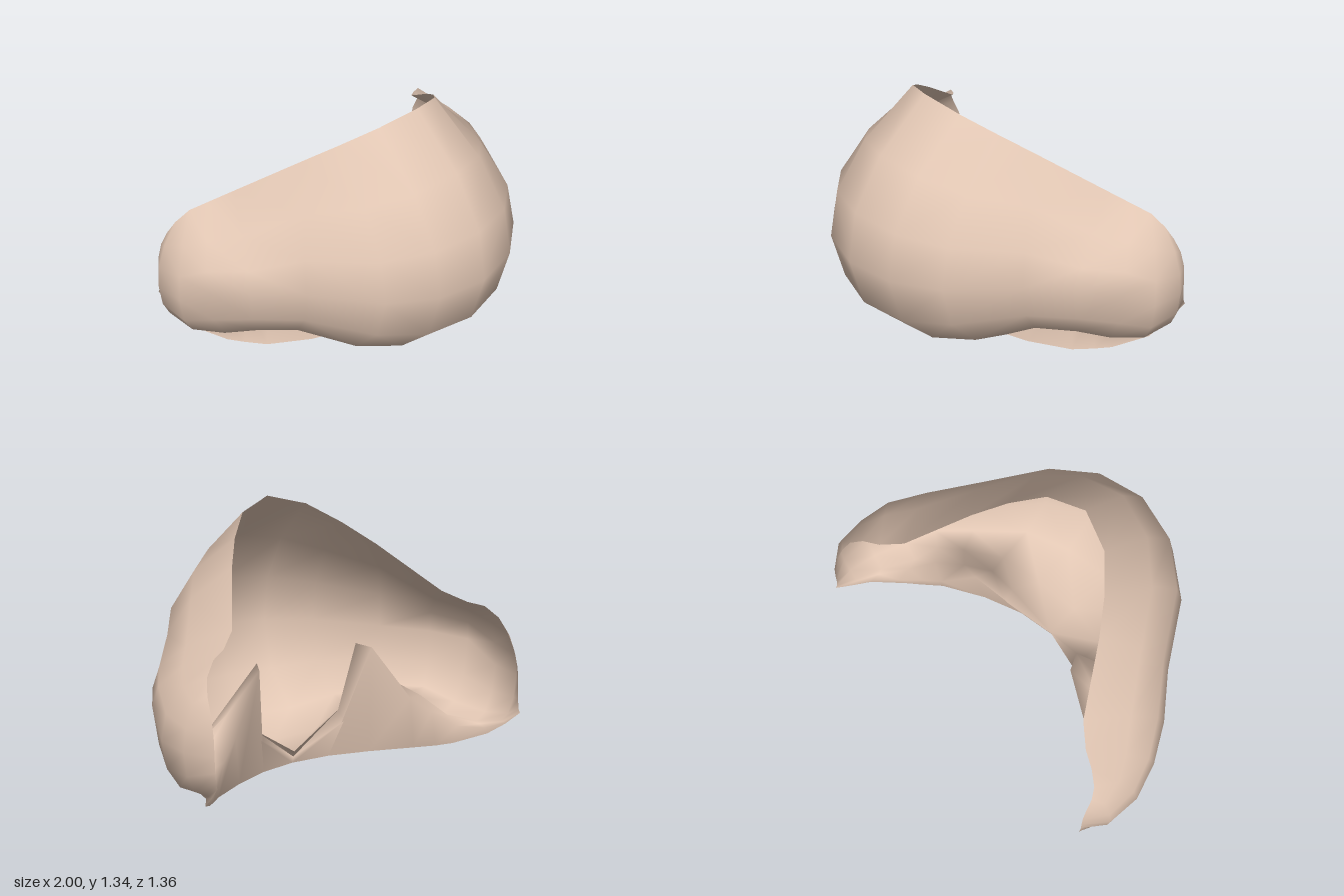
import * as THREE from 'three';
import { mergeVertices } from 'three/addons/utils/BufferGeometryUtils.js';

// Guide lines of one half, each running from the middle (x = 0) to the wing corner.
const topRim = [[0, 1.34, 0.23], [0.19, 1.29, 0.165], [0.32, 1.2, 0.04], [0.43, 1.1, -0.1],
  [0.62, 0.89, -0.385], [0.72, 0.835, -0.465], [0.8, 0.81, -0.505], [0.86, 0.75, -0.545], [0.885, 0.68, -0.585]];
const widest = [[0, 0.58, 0.68], [0.25, 0.58, 0.625], [0.46, 0.58, 0.47], [0.67, 0.58, 0.16],
  [0.84, 0.57, -0.04], [0.95, 0.55, -0.22], [1, 0.44, -0.38], [0.99, 0.43, -0.55], [0.9, 0.42, -0.66]];
const nostrilRim = [[0, 0.075, 0.18], [0.24, 0.09, 0.15], [0.45, 0.16, 0.09], [0.6, 0.25, -0.05],
  [0.71, 0.25, -0.14], [0.76, 0.19, -0.26], [0.85, 0.175, -0.42], [0.89, 0.21, -0.56], [0.9, 0.28, -0.68]];
const pocketFront = [[0, 0.065, 0], [0.26, 0.24, -0.02], [0.3, 0.61, -0.11], [0.49, 0.4, -0.14],
  [0.64, 0.3, -0.22], [0.74, 0.2, -0.32], [0.84, 0.17, -0.45], [0.885, 0.21, -0.58], [0.9, 0.28, -0.68]];
const pocketBack = [[0, 0.035, 0.008], [0.26, 0.2, -0.08], [0.34, 0.6, -0.19], [0.53, 0.32, -0.27],
  [0.63, 0.24, -0.32], [0.74, 0.16, -0.39], [0.84, 0.16, -0.49], [0.88, 0.208, -0.595], [0.9, 0.28, -0.68]];
const baseRim = [[0, 0, 0.015], [0.2, 0.005, -0.02], [0.4, 0.011, -0.1], [0.6, 0.025, -0.22],
  [0.68, 0.042, -0.3], [0.74, 0.06, -0.36], [0.85, 0.13, -0.5], [0.88, 0.205, -0.6], [0.9, 0.28, -0.68]];

// Blend two points with separate amounts for height and for the plan position
const blend = (a, b, plan, height) => [
  a[0] + (b[0] - a[0]) * plan,
  a[1] + (b[1] - a[1]) * height,
  a[2] + (b[2] - a[2]) * plan,
];

// One section from the upper rim, over the bulge, into the nostril and out to the base
function section(i) {
  const points = [];
  for (const f of [1, 0.68, 0.34]) points.push(blend(topRim[i], widest[i], 1 - f ** 2.2, 1 - f));
  for (const g of [0, 0.52, 0.88, 1]) points.push(blend(widest[i], nostrilRim[i], 1 - Math.sqrt(1 - g * g), g));
  points.push(pocketFront[i], pocketBack[i], baseRim[i]);
  return points;
}

// Mirrored sections joined into one shell
function shellGeometry() {
  const last = topRim.length - 1;
  const positions = [];
  const indices = [];
  let rows = 0;
  for (let c = -last; c <= last; c++) {
    const points = section(Math.abs(c));
    rows = points.length;
    for (const [x, y, z] of points) positions.push(c < 0 ? -x : x, y, z);
  }
  for (let c = 0; c < 2 * last; c++) {
    for (let r = 0; r < rows - 1; r++) {
      const a = c * rows + r;
      const b = a + rows;
      // Mirror the diagonal as well
      if (c < last) indices.push(a, a + 1, b + 1, a, b + 1, b);
      else indices.push(a, a + 1, b, b, a + 1, b + 1);
    }
  }
  const geometry = new THREE.BufferGeometry();
  geometry.setAttribute('position', new THREE.Float32BufferAttribute(positions, 3));
  geometry.setIndex(indices);
  const merged = mergeVertices(geometry, 1e-4);
  merged.computeVertexNormals();
  return merged;
}

export function createModel() {
  const skin = new THREE.MeshStandardMaterial({ color: 0xe1c6b3, side: THREE.DoubleSide });
  skin.name = 'skin';

  const nose = new THREE.Mesh(shellGeometry(), skin);
  nose.name = 'noseShell';

  const model = new THREE.Group();
  model.name = 'nose';
  model.add(nose);
  return model;
}
